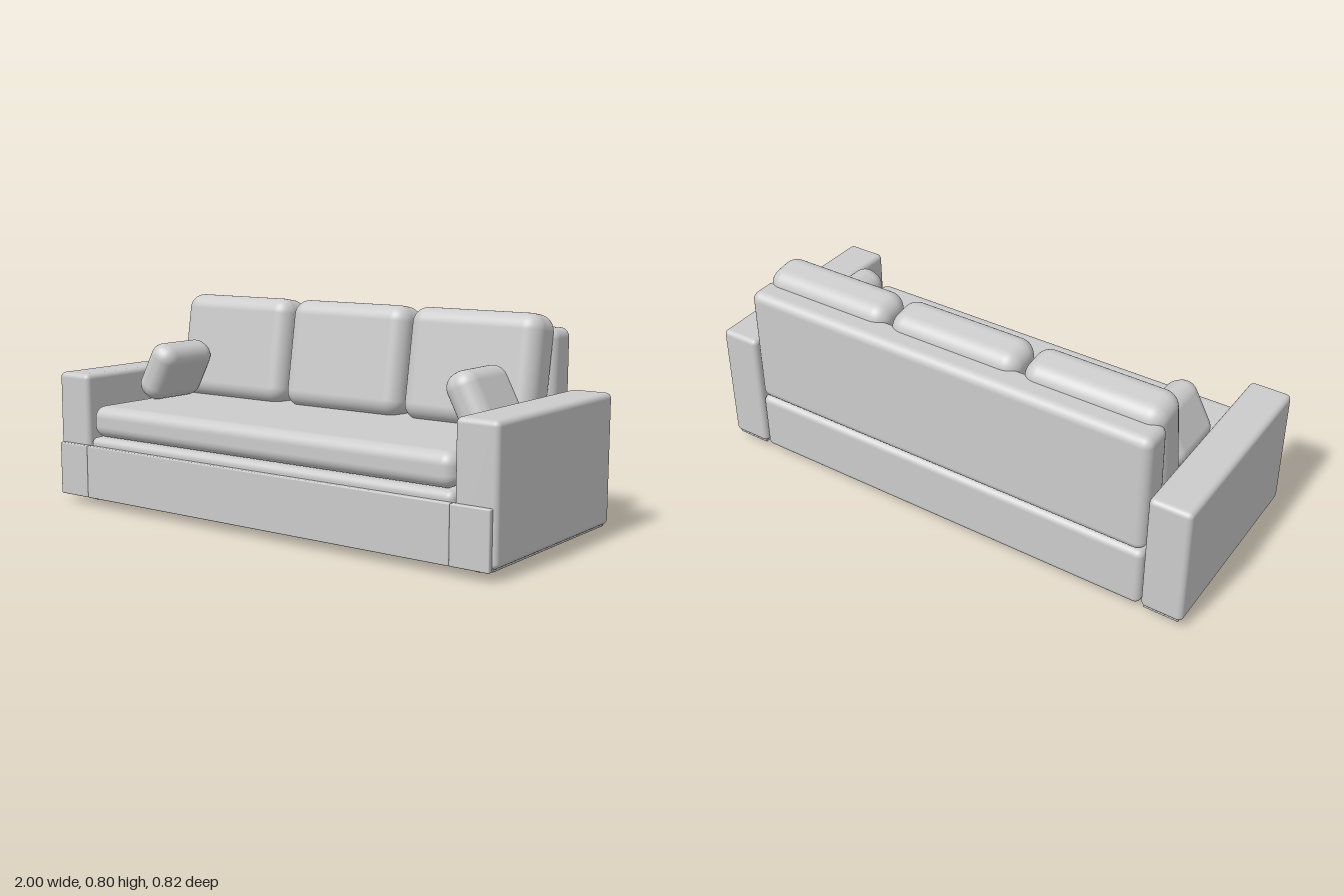
import * as THREE from 'three';
import { RoundedBoxGeometry } from 'three/addons/geometries/RoundedBoxGeometry.js';

const fabric = new THREE.MeshStandardMaterial({ color: 0xcccccc });
const wood = new THREE.MeshStandardMaterial({ color: 0x7a5234 });

// Rounded block given by its extents on each axis
function block(name, [x0, x1], [y0, y1], [z0, z1], radius, segments = 4) {
  const geometry = new RoundedBoxGeometry(x1 - x0, y1 - y0, z1 - z0, segments, radius);
  const mesh = new THREE.Mesh(geometry, fabric);
  mesh.name = name;
  mesh.position.set((x0 + x1) / 2, (y0 + y1) / 2, (z0 + z1) / 2);
  return mesh;
}

// Loose cushion given by its size and centre
function cushion(name, size, position, radius) {
  const mesh = new THREE.Mesh(new RoundedBoxGeometry(...size, 6, radius), fabric);
  mesh.name = name;
  mesh.position.set(...position);
  return mesh;
}

// Backrest whose front face leans back slightly towards the top
function createBackrest() {
  const mesh = block('backrest', [-0.835, 0.835], [0.272, 0.742], [-0.41, -0.27], 0.035);
  const p = mesh.geometry.attributes.position;
  for (let i = 0; i < p.count; i++) {
    if (p.getZ(i) > 0) p.setZ(i, p.getZ(i) - p.getY(i) * 0.04);
  }
  return mesh;
}

// Squashed round foot with a bulging rim
function createFoot(x, z) {
  const profile = [new THREE.Vector2(0, 0)];
  for (let i = 0; i <= 10; i++) {
    const a = -Math.PI / 2 + (i / 10) * Math.PI;
    profile.push(new THREE.Vector2(0.018 + 0.015 * Math.cos(a), 0.015 + 0.015 * Math.sin(a)));
  }
  profile.push(new THREE.Vector2(0, 0.03));
  const foot = new THREE.Mesh(new THREE.LatheGeometry(profile, 24), wood);
  foot.name = 'foot';
  foot.position.set(x, 0.001, z);
  return foot;
}

export function createModel() {
  const sofa = new THREE.Group();
  sofa.name = 'sofa';

  // Body
  sofa.add(
    block('base', [-0.835, 0.835], [0.035, 0.272], [-0.41, 0.39], 0.025),
    block('seatCushion', [-0.83, 0.83], [0.273, 0.396], [-0.29, 0.386], 0.045, 6),
    createBackrest(),
    block('frontRail', [-0.835, 0.835], [0.033, 0.24], [0.385, 0.41], 0.005, 2)
  );

  // Back cushions, leaning against the backrest
  for (const x of [-0.557, 0, 0.557]) {
    const back = cushion('backCushion', [0.54, 0.42, 0.17], [x, 0.59, -0.217], 0.06);
    back.rotation.x = -0.16;
    sofa.add(back);
  }

  // Mirrored parts
  for (const s of [-1, 1]) {
    const span = (a, b) => (s > 0 ? [a, b] : [-b, -a]);
    sofa.add(
      block('arm', span(0.84, 1), [0.04, 0.518], [-0.41, 0.392], 0.02),
      block('armBottomPanel', span(0.85, 0.985), [0.032, 0.06], [-0.4, 0.385], 0.003, 2),
      block('frontRailEnd', span(0.835, 0.985), [0.033, 0.24], [0.385, 0.41], 0.005, 2)
    );

    // Small pillow tipped against the arm
    const pillow = cushion('armPillow', [0.125, 0.238, 0.285], [s * 0.725, 0.512, 0.012], 0.056);
    pillow.rotation.z = s * 0.49;
    sofa.add(pillow);

    for (const z of [0.29, -0.305]) sofa.add(createFoot(s * 0.887, z));
  }
  return sofa;
}
